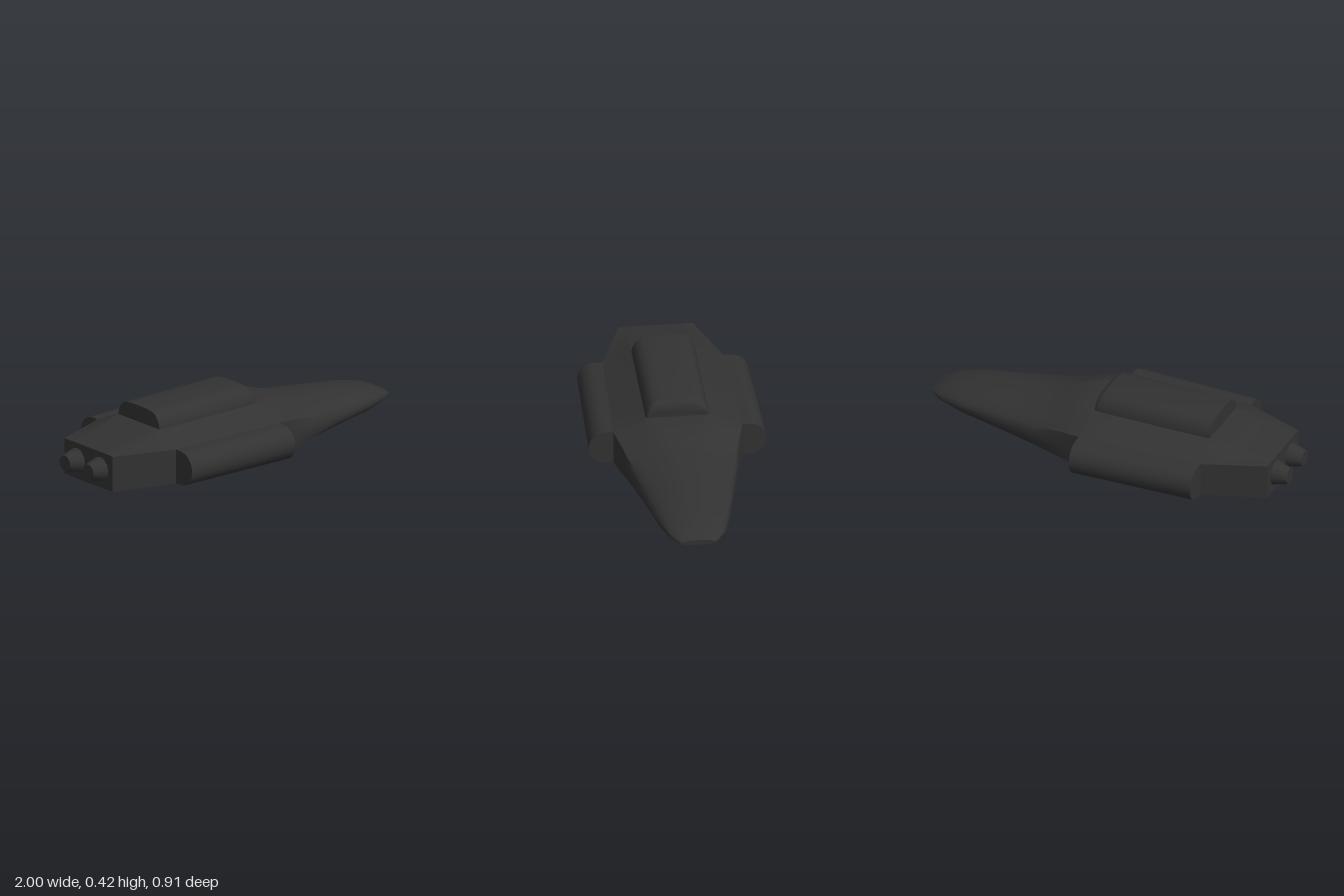
import * as THREE from 'three';
import { toCreasedNormals } from 'three/addons/utils/BufferGeometryUtils.js';

// Skin a list of equal-length rings of [x, y, z], running from -x to +x, with both ends closed.
function loft(rings, crease) {
  const n = rings[0].length, pos = rings.flat(2), idx = [];
  for (let r = 0; r < rings.length - 1; r++) {
    for (let i = 0; i < n; i++) {
      const a = r * n + i, b = r * n + (i + 1) % n;
      idx.push(a, b, a + n, b, b + n, a + n);
    }
  }
  for (const end of [0, rings.length - 1]) {
    const ring = rings[end], c = pos.length / 3;
    for (let k = 0; k < 3; k++) pos.push(ring.reduce((s, p) => s + p[k], 0) / n);
    for (let i = 0; i < n; i++) {
      const a = end * n + i, b = end * n + (i + 1) % n;
      if (end === 0) idx.push(c, b, a);
      else idx.push(c, a, b);
    }
  }
  const g = new THREE.BufferGeometry();
  g.setAttribute('position', new THREE.Float32BufferAttribute(pos, 3));
  g.setIndex(idx);
  return toCreasedNormals(g, crease);
}

// Faceted hull section, blended towards an ellipse by "round".
function section([x, top, deck, w, sideTop, sideBottom, keel, round]) {
  const half = [[0, top], [deck, top], [w, sideTop], [w, sideBottom], [0, keel]];
  const corners = [...half, ...half.slice(1, -1).reverse().map(([z, y]) => [-z, y])];
  const cy = (top + keel) / 2, h = (top - keel) / 2, ring = [], steps = 4;
  corners.forEach(([z0, y0], i) => {
    const [z1, y1] = corners[(i + 1) % corners.length];
    for (let s = 0; s < steps; s++) {
      const z = z0 + (z1 - z0) * s / steps, y = y0 + (y1 - y0) * s / steps;
      const len = Math.hypot(z / w, (y - cy) / h);
      ring.push([
        x,
        THREE.MathUtils.lerp(y, cy + (y - cy) / len, round),
        THREE.MathUtils.lerp(z, z / len, round),
      ]);
    }
  });
  return ring;
}

export function createModel() {
  const model = new THREE.Group();
  const charcoal = new THREE.MeshStandardMaterial({ color: 0x323232 });
  charcoal.name = 'charcoal';
  const add = (name, geometry) => {
    const mesh = new THREE.Mesh(geometry, charcoal);
    mesh.name = name;
    model.add(mesh);
    return mesh;
  };

  // Faceted main body: x, top, deck half width, half width, side top, side bottom, keel, roundness
  const shoulder = [0.07, 0.33, 0.16, 0.33, 0.265, 0.085, 0.002, 0];
  add('body', loft([
    [-0.92, 0.267, 0.14, 0.19, 0.265, 0.077, 0.075, 0],
    [-0.72, 0.297, 0.15, 0.265, 0.265, 0.08, 0.055, 0],
    [-0.6, 0.33, 0.16, 0.31, 0.265, 0.085, 0.012, 0],
    shoulder,
  ].map(section), 0.3));

  // Smooth tapering nose
  add('nose', loft([
    shoulder,
    [0.12, 0.33, 0.14, 0.322, 0.26, 0.088, 0.004, 0.08],
    [0.2, 0.325, 0.1, 0.305, 0.25, 0.093, 0.015, 0.2],
    [0.27, 0.305, 0.08, 0.292, 0.235, 0.098, 0.025, 0.35],
    [0.35, 0.286, 0.06, 0.275, 0.222, 0.105, 0.037, 0.5],
    [0.55, 0.263, 0.06, 0.234, 0.21, 0.115, 0.06, 0.75],
    [0.8, 0.235, 0.05, 0.182, 0.195, 0.125, 0.087, 1],
    [0.93, 0.206, 0.04, 0.143, 0.18, 0.14, 0.12, 1],
    [0.97, 0.188, 0.03, 0.115, 0.17, 0.145, 0.133, 1],
    [1, 0.172, 0.03, 0.09, 0.165, 0.15, 0.145, 1],
  ].map(section), 0.8));

  // Half-round pods on both flanks, following the slight widening of the body
  for (const side of [1, -1]) {
    const ring = (x, outer) => {
      const pts = [[x, 0.265, 0.25 * side]];
      for (let i = 0; i <= 14; i++) {
        const a = Math.PI * (0.5 - i / 14);
        pts.push([x, 0.175 + 0.09 * Math.sin(a), side * (outer - 0.09 + 0.09 * Math.cos(a))]);
      }
      pts.push([x, 0.085, 0.25 * side]);
      return side > 0 ? pts : pts.reverse();
    };
    add(side > 0 ? 'frontPod' : 'backPod', loft([ring(-0.6, 0.438), ring(0.07, 0.456)], 0.5));
  }

  // Rounded dorsal pod with a softened front end
  const arch = [[0.163, -0.01], [0.163, 0], [0.156, 0.03], [0.145, 0.053], [0.13, 0.07],
    [0.108, 0.083], [0.07, 0.088], [0, 0.09]];
  const profile = [...arch.map(([z, y]) => [-z, y]), ...arch.slice(0, -1).reverse()];
  add('dorsalPod', loft([
    [-0.585, 0.97, 1], [0.02, 1, 1], [0.038, 0.95, 0.995], [0.052, 0.8, 0.985], [0.06, 0.58, 0.965],
  ].map(([x, sy, sz]) => profile.map(([z, y]) => [x, 0.33 + y * sy, z * sz])), 0.6));

  // Twin tapered exhausts
  for (const z of [0.092, -0.092]) {
    const nozzle = add('exhaust', toCreasedNormals(new THREE.CylinderGeometry(0.07, 0.042, 0.1, 12), 0.7));
    nozzle.rotation.z = -Math.PI / 2;
    nozzle.position.set(-0.95, 0.175, z);
  }
  return model;
}
